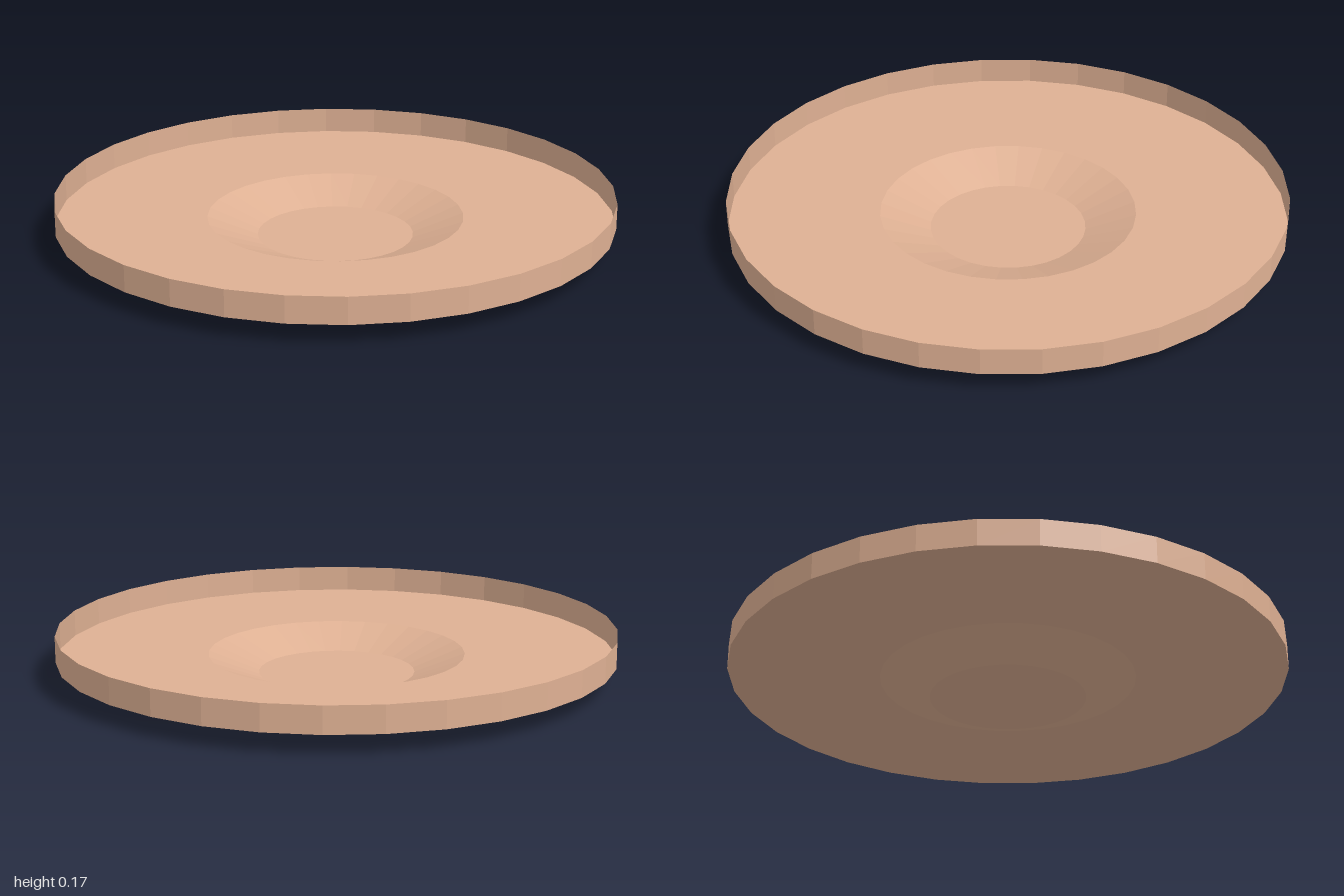
import * as THREE from 'three';

const SIDES = 32;

export function createModel() {
  const group = new THREE.Group();
  group.name = 'shallowDish';
  const material = new THREE.MeshStandardMaterial({
    color: 0xdeb093,
    flatShading: true,
    side: THREE.DoubleSide,
  });

  const add = (name, geometry, y) => {
    const mesh = new THREE.Mesh(geometry, material);
    mesh.name = name;
    mesh.position.y = y;
    group.add(mesh);
  };

  const floorRadius = 0.28, wellRadius = 0.46, rimRadius = 1;
  const plateY = 0.07, rimTop = 0.165;

  // Flat floor of the central well
  add('wellFloor', new THREE.CircleGeometry(floorRadius, SIDES).rotateX(-Math.PI / 2), 0);

  // Sloping side of the well
  add('wellSlope', new THREE.CylinderGeometry(wellRadius, floorRadius, plateY, SIDES, 1, true), plateY / 2);

  // Flat plate around the well
  add('plate', new THREE.RingGeometry(wellRadius, rimRadius, SIDES, 1).rotateX(-Math.PI / 2), plateY);

  // Thin upright rim
  add('rim', new THREE.CylinderGeometry(rimRadius, rimRadius, rimTop - plateY, SIDES, 1, true), (plateY + rimTop) / 2);

  return group;
}
